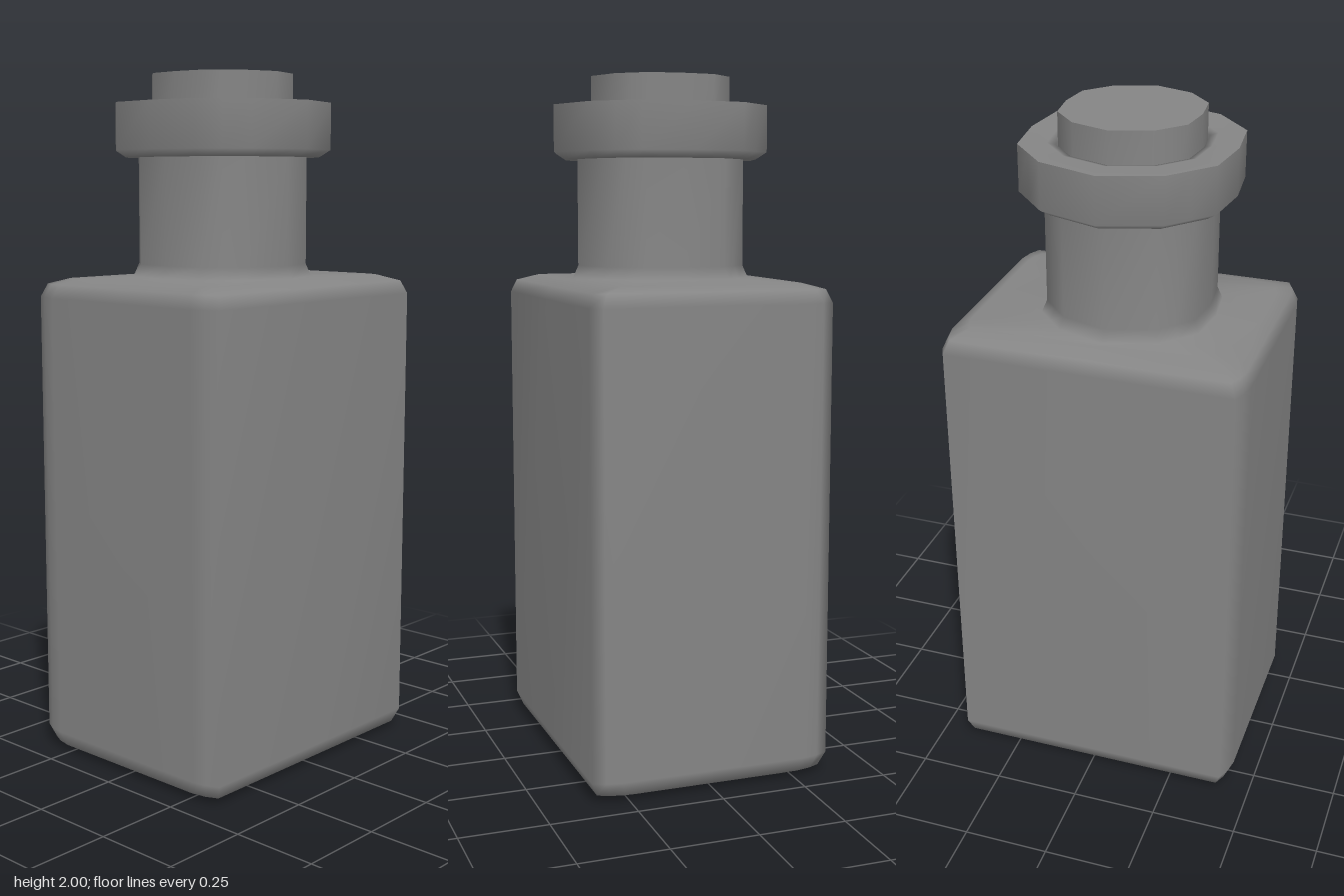
import * as THREE from 'three';

const CENTRE_X = -0.021; // the neck sits slightly off the body's axis
const SQUASH_X = 0.912; // round parts are slightly oval

const material = new THREE.MeshStandardMaterial({ color: 0x858585, side: THREE.DoubleSide });

// Unit outlines: a quarter from +z round to +x, mirrored into a closed loop of 16 points
function outline(quarter) {
  const back = quarter.slice(0, -1).reverse().map(([x, z]) => [x, -z]);
  const half = [...quarter, ...back];
  const otherHalf = half.slice(1, -1).reverse().map(([x, z]) => [-x, z]);
  return [...half, ...otherHalf];
}
const BLOCK = outline([[0, 1], [0.943, 1], [0.98, 0.9], [1, 0.775], [1, 0]]);
const ROUND = outline([[0, 1], [0.58, 0.83], [0.76, 0.65], [0.94, 0.47], [1, 0]]);

// Cross-sections at height y
const blockRing = (y, halfX, halfZ) => BLOCK.map(([x, z]) => [x * halfX, y, z * halfZ]);
const roundRing = (y, r) => ROUND.map(([x, z]) => [CENTRE_X + x * r * SQUASH_X, y, z * r]);

// Smooth skin over a stack of rings, listed so faces point outward
function skin(name, rings) {
  const n = rings[0].length;
  const index = [];
  for (let i = 0; i < rings.length - 1; i++) {
    for (let j = 0; j < n; j++) {
      const a = i * n + j;
      const b = i * n + (j + 1) % n;
      index.push(a, b, b + n, a, b + n, a + n);
    }
  }
  const geometry = new THREE.BufferGeometry();
  geometry.setAttribute('position', new THREE.Float32BufferAttribute(rings.flat(2), 3));
  geometry.setIndex(index);
  geometry.computeVertexNormals();
  const mesh = new THREE.Mesh(geometry, material);
  mesh.name = name;
  return mesh;
}

export function createModel() {
  const bottle = new THREE.Group();
  bottle.name = 'bottle';

  // Softened square body flowing through the shoulder into the round neck
  bottle.add(skin('bodyAndNeck', [
    blockRing(0, 0, 0),
    blockRing(0, 0.385, 0.28),
    blockRing(0.018, 0.424, 0.337),
    blockRing(0.06, 0.44, 0.355),
    blockRing(1.365, 0.44, 0.355),
    blockRing(1.403, 0.424, 0.34),
    blockRing(1.42, 0.385, 0.28),
    roundRing(1.425, 0.268),
    roundRing(1.46, 0.252),
    roundRing(1.77, 0.252),
  ]));

  // Lip: rounded underside and wall, then the flat rim running into the mouth
  const lip = new THREE.Group();
  lip.name = 'lip';
  lip.add(skin('lipOutside', [
    roundRing(1.765, 0.245),
    roundRing(1.765, 0.29),
    roundRing(1.785, 0.322),
    roundRing(1.918, 0.322),
  ]));
  lip.add(skin('lipRim', [
    roundRing(1.918, 0.322),
    roundRing(1.916, 0.24),
    roundRing(1.91, 0.216),
    roundRing(1.8, 0.213),
  ]));
  bottle.add(lip);

  // Stopper plugged into the mouth
  const stopper = new THREE.Group();
  stopper.name = 'stopper';
  stopper.add(skin('stopperSide', [roundRing(1.78, 0.21), roundRing(2, 0.21)]));
  stopper.add(skin('stopperTop', [roundRing(2, 0.21), roundRing(2, 0)]));
  stopper.add(skin('stopperBottom', [roundRing(1.78, 0), roundRing(1.78, 0.21)]));
  bottle.add(stopper);

  return bottle;
}
